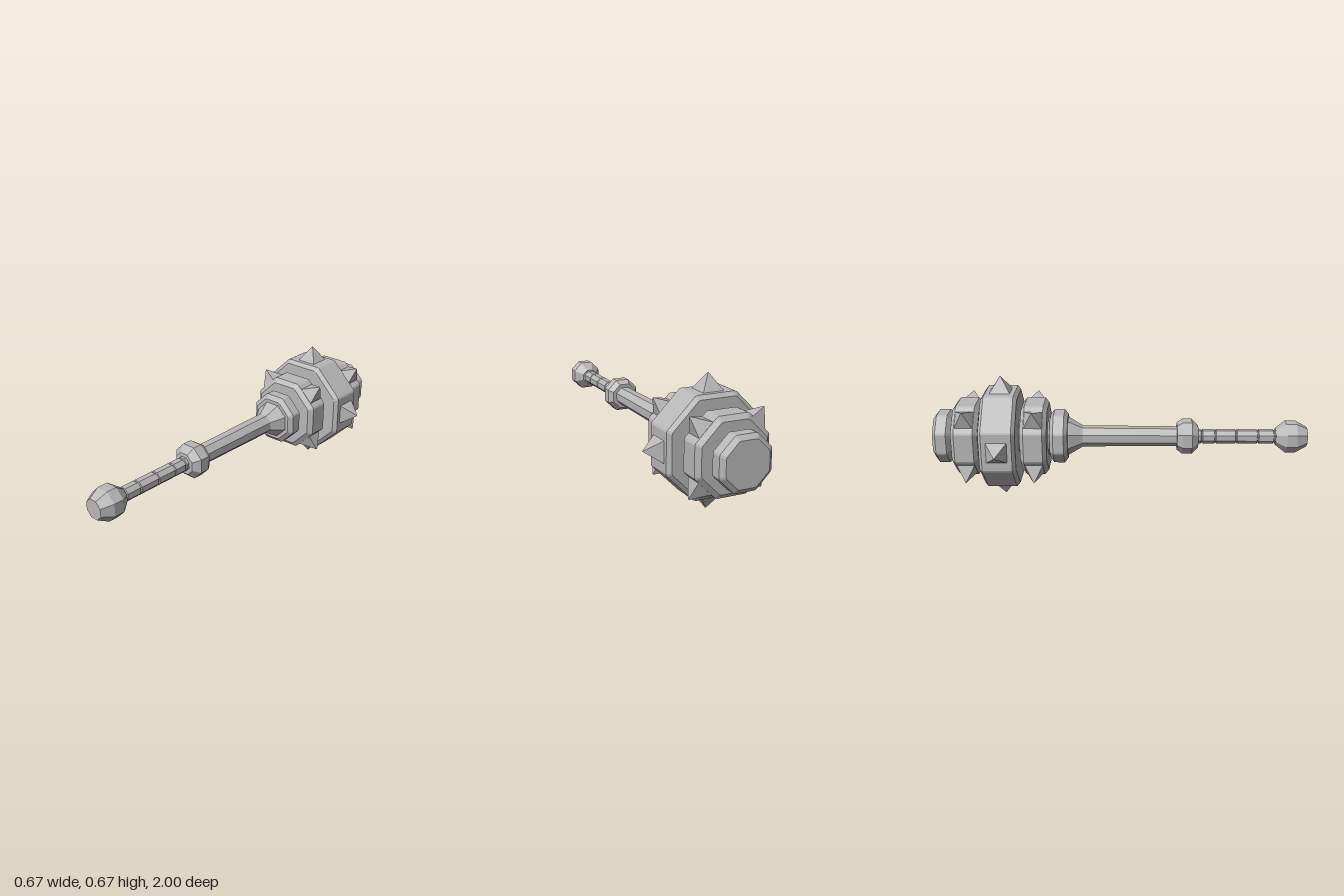
import * as THREE from 'three';

const AXIS_Y = 0.335;
const steel = new THREE.MeshStandardMaterial({ color: 0xb8b8b8, flatShading: true });
steel.name = 'steel grey';

// Octagonal loft along z. Stations are [z, apothem] with z rising;
// trim cuts the eight long edges.
function octLoft(name, stations, trim = 0) {
  const loops = stations.map(([z, a]) => {
    const half = a * Math.tan(Math.PI / 8) - trim;
    const loop = [];
    for (let k = 0; k < 8; k++) {
      const t = (k * Math.PI) / 4, c = Math.cos(t), s = Math.sin(t);
      const sides = trim > 0 ? [-half, half] : [half];
      for (const h of sides) loop.push([a * c - h * s, a * s + h * c, z]);
    }
    return loop;
  });
  const pos = [];
  const tri = (...pts) => pts.forEach((p) => pos.push(...p));
  const n = loops[0].length;
  for (let i = 0; i < loops.length - 1; i++) {
    for (let j = 0; j < n; j++) {
      const k = (j + 1) % n;
      const A = loops[i][j], B = loops[i][k], C = loops[i + 1][k], D = loops[i + 1][j];
      tri(A, B, C);
      tri(A, C, D);
    }
  }
  // end caps
  const back = loops[0], front = loops[loops.length - 1];
  for (let j = 1; j < n - 1; j++) {
    tri(back[0], back[j + 1], back[j]);
    tri(front[0], front[j], front[j + 1]);
  }
  const geo = new THREE.BufferGeometry();
  geo.setAttribute('position', new THREE.Float32BufferAttribute(pos, 3));
  geo.computeVertexNormals();
  const mesh = new THREE.Mesh(geo, steel);
  mesh.name = name;
  return mesh;
}

// Bevelled octagonal disc
function ring(name, z0, z1, a, bevel) {
  const b = bevel * 0.85;
  return octLoft(name, [[z0, a - bevel], [z0 + b, a], [z1 - b, a], [z1, a - bevel]], 0.006);
}

// Four blunt square spikes around a ring
function spikes(name, z, apothem, half, height, startAngle) {
  const group = new THREE.Group();
  group.name = name;
  const geo = new THREE.CylinderGeometry(0.003, half * Math.SQRT2, height, 4, 1);
  geo.rotateY(Math.PI / 4);
  geo.translate(0, apothem + height / 2, 0);
  for (let i = 0; i < 4; i++) {
    const spike = new THREE.Mesh(geo, steel);
    spike.name = 'spike';
    spike.rotation.z = startAngle + (i * Math.PI) / 2;
    spike.position.z = z;
    group.add(spike);
  }
  return group;
}

export function createModel() {
  const model = new THREE.Group();
  model.name = 'mace';
  const body = new THREE.Group();
  body.name = 'maceBody';
  body.position.y = AXIS_Y;
  model.add(body);

  // Head
  body.add(
    octLoft('headCore', [[-0.95, 0.095], [-0.285, 0.095]]),
    ring('endRing', -1, -0.905, 0.135, 0.023),
    ring('rearRing', -0.89, -0.75, 0.194, 0.024),
    ring('centreRing', -0.735, -0.545, 0.255, 0.02),
    ring('frontRing', -0.53, -0.39, 0.194, 0.024),
    ring('neckRing', -0.38, -0.285, 0.135, 0.023),
    spikes('centreSpikes', -0.64, 0.254, 0.055, 0.081, 0),
    spikes('rearSpikes', -0.82, 0.193, 0.048, 0.081, Math.PI / 4),
    spikes('frontSpikes', -0.46, 0.193, 0.048, 0.081, Math.PI / 4),
  );

  // Shaft and collar
  body.add(
    octLoft('neckTaper', [[-0.295, 0.095], [-0.28, 0.093], [-0.205, 0.052]]),
    octLoft('shaft', [[-0.21, 0.053], [0.31, 0.049]]),
    octLoft('collar', [[0.3, 0.068], [0.33, 0.088], [0.38, 0.088], [0.415, 0.056]]),
  );

  // Grip divided by narrow grooves
  const grip = [[0.4, 0.036]];
  for (const z of [0.435, 0.508, 0.62, 0.737, 0.825]) {
    grip.push([z - 0.005, 0.036], [z - 0.002, 0.031], [z + 0.002, 0.031], [z + 0.005, 0.036]);
  }
  grip.push([0.85, 0.036]);
  body.add(octLoft('grip', grip));

  // Pommel
  body.add(octLoft('pommel', [[0.832, 0.042], [0.885, 0.08], [0.94, 0.08], [1, 0.05]]));

  return model;
}
